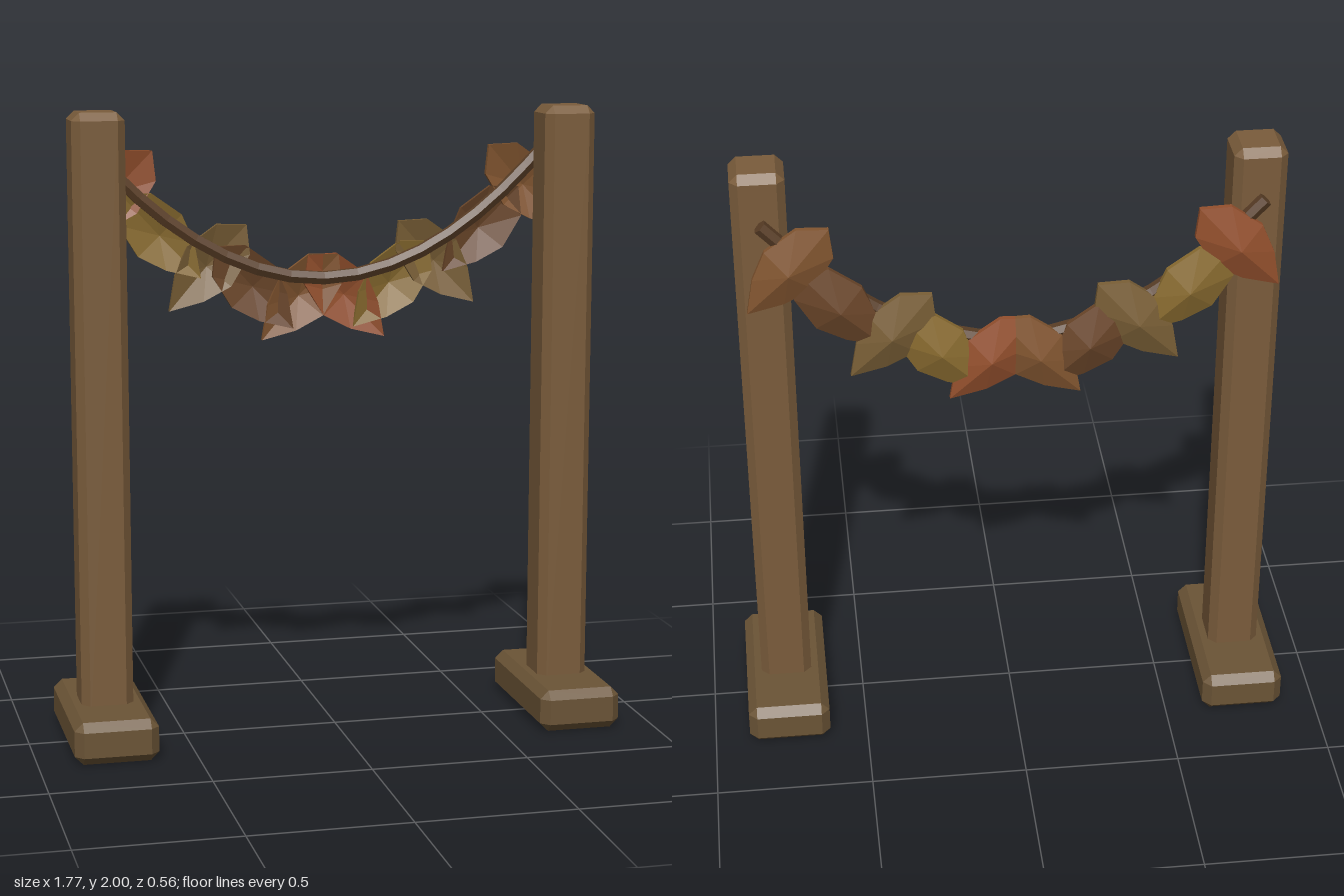
import * as THREE from 'three';
import { ConvexGeometry } from 'three/addons/geometries/ConvexGeometry.js';

const material = (color) => new THREE.MeshStandardMaterial({ color, flatShading: true });

// Box with every edge cut at 45 degrees
function chamferBox(w, h, d, c) {
  const points = [];
  for (const sx of [-1, 1]) for (const sy of [-1, 1]) for (const sz of [-1, 1]) {
    const [x, y, z] = [w / 2, h / 2, d / 2];
    points.push(
      new THREE.Vector3(sx * x, sy * (y - c), sz * (z - c)),
      new THREE.Vector3(sx * (x - c), sy * y, sz * (z - c)),
      new THREE.Vector3(sx * (x - c), sy * (y - c), sz * z));
  }
  return new ConvexGeometry(points);
}

// Pointed leaf, tip down, cupped towards the back with a thin rim
function leafGeometry() {
  const side = [[0.063, -0.09], [0.097, 0.005], [0.073, 0.122]];
  const mirrored = side.map(([x, y]) => [-x, y]).reverse();
  const rim = [[0, -0.187], ...side, [0, 0.185], ...mirrored];
  const positions = [];
  rim.forEach((p, i) => {
    const q = rim[(i + 1) % rim.length];
    const [pf, qf] = [[...p, 0], [...q, 0]];
    const [pb, qb] = [[...p, -0.017], [...q, -0.017]];
    const front = [0, 0, -0.034], back = [0, 0, -0.051];
    positions.push(...front, ...pf, ...qf, ...back, ...qb, ...pb,
      ...pf, ...pb, ...qb, ...pf, ...qb, ...qf);
  });
  const geometry = new THREE.BufferGeometry();
  geometry.setAttribute('position', new THREE.Float32BufferAttribute(positions, 3));
  geometry.computeVertexNormals();
  return geometry;
}

export function createModel() {
  const model = new THREE.Group();
  model.name = 'leafGarland';
  const add = (name, geometry, mat, x, y, z, parent = model) => {
    const mesh = new THREE.Mesh(geometry, mat);
    mesh.name = name;
    mesh.position.set(x, y, z);
    parent.add(mesh);
    return mesh;
  };

  // Two posts on long feet
  const postMat = material(0x7a5c3b), footMat = material(0x6b5436);
  const post = chamferBox(0.165, 1.95, 0.165, 0.025);
  const foot = chamferBox(0.265, 0.135, 0.555, 0.027);
  for (const [side, s] of [['left', 1], ['right', -1]]) {
    add(side + 'Post', post, postMat, s * 0.755, 1.025, 0);
    add(side + 'Foot', foot, footMat, s * 0.755, 0.0675, 0);
  }

  // Sagging rope behind the posts
  const ropeY = (x) => 1.445 + 0.755 * x * x;
  const points = [];
  for (let i = 0; i <= 12; i++) {
    const x = -0.755 + (1.51 * i) / 12;
    points.push(new THREE.Vector3(x, ropeY(x), -0.153));
  }
  const curve = new THREE.CatmullRomCurve3(points);
  const ropeMat = material(0x5a3e26);
  add('rope', new THREE.TubeGeometry(curve, 16, 0.023, 6), ropeMat, 0, 0, 0);
  for (const t of [0, 1]) {
    const p = curve.getPoint(t);
    const cap = add('ropeEnd', new THREE.CircleGeometry(0.023, 6), ropeMat, p.x, p.y, p.z);
    cap.lookAt(p.clone().addScaledVector(curve.getTangent(t), t ? 1 : -1));
  }

  // Leaves hanging along the rope, leaning alternately to each side
  const leaves = new THREE.Group();
  leaves.name = 'leaves';
  model.add(leaves);
  const leafMats = [0x94502d, 0x8a6c30, 0x7a5f36, 0x6b4629, 0x835630].map(material);
  const leaf = leafGeometry();
  for (let i = 0; i < 10; i++) {
    const x = (i - 4.5) * 0.151;
    const mesh = add('leaf', leaf, leafMats[i % 5], x, ropeY(x) - 0.065, -0.158, leaves);
    mesh.rotation.z = (i % 2 ? 1 : -1) * 0.75;
  }
  return model;
}
